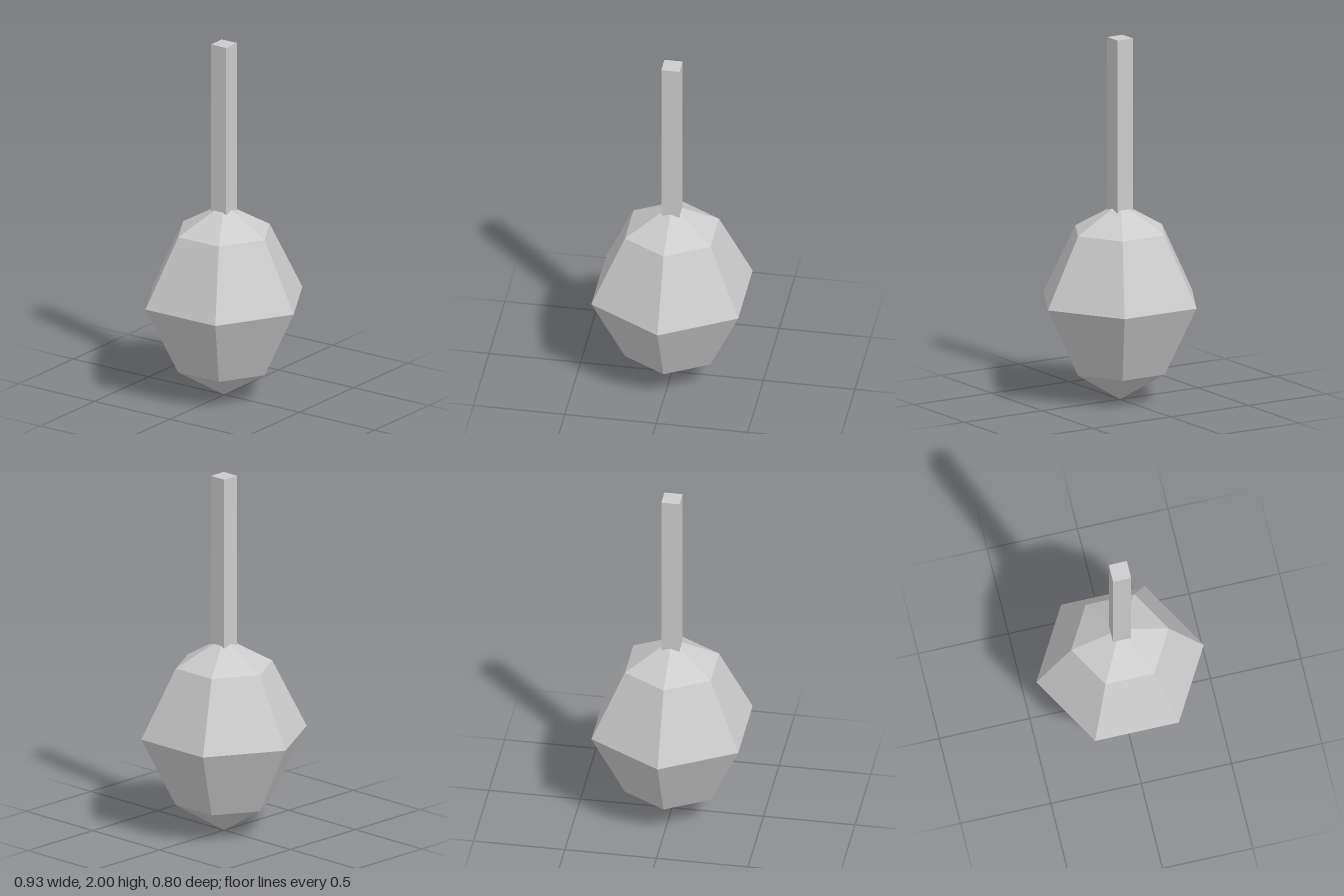
import * as THREE from 'three';

export function createModel() {
  const group = new THREE.Group();
  const grey = new THREE.MeshStandardMaterial({ color: 0xcccccc, flatShading: true });
  grey.name = 'light grey';

  // Six-sided faceted head, with corners on the x axis
  const profile = [
    [0, 0], [0.27, 0.165], [0.463, 0.55], [0.27, 0.935], [0, 1.09],
  ].map(([r, y]) => new THREE.Vector2(r, y));
  const head = new THREE.Mesh(new THREE.LatheGeometry(profile, 6, Math.PI / 2), grey);
  head.name = 'head';

  // Square handle, sunk into the top of the head
  const bottom = 1.0, top = 2;
  const handle = new THREE.Mesh(new THREE.BoxGeometry(0.1, top - bottom, 0.1), grey);
  handle.position.y = (top + bottom) / 2;
  handle.name = 'handle';

  group.add(head, handle);
  return group;
}
